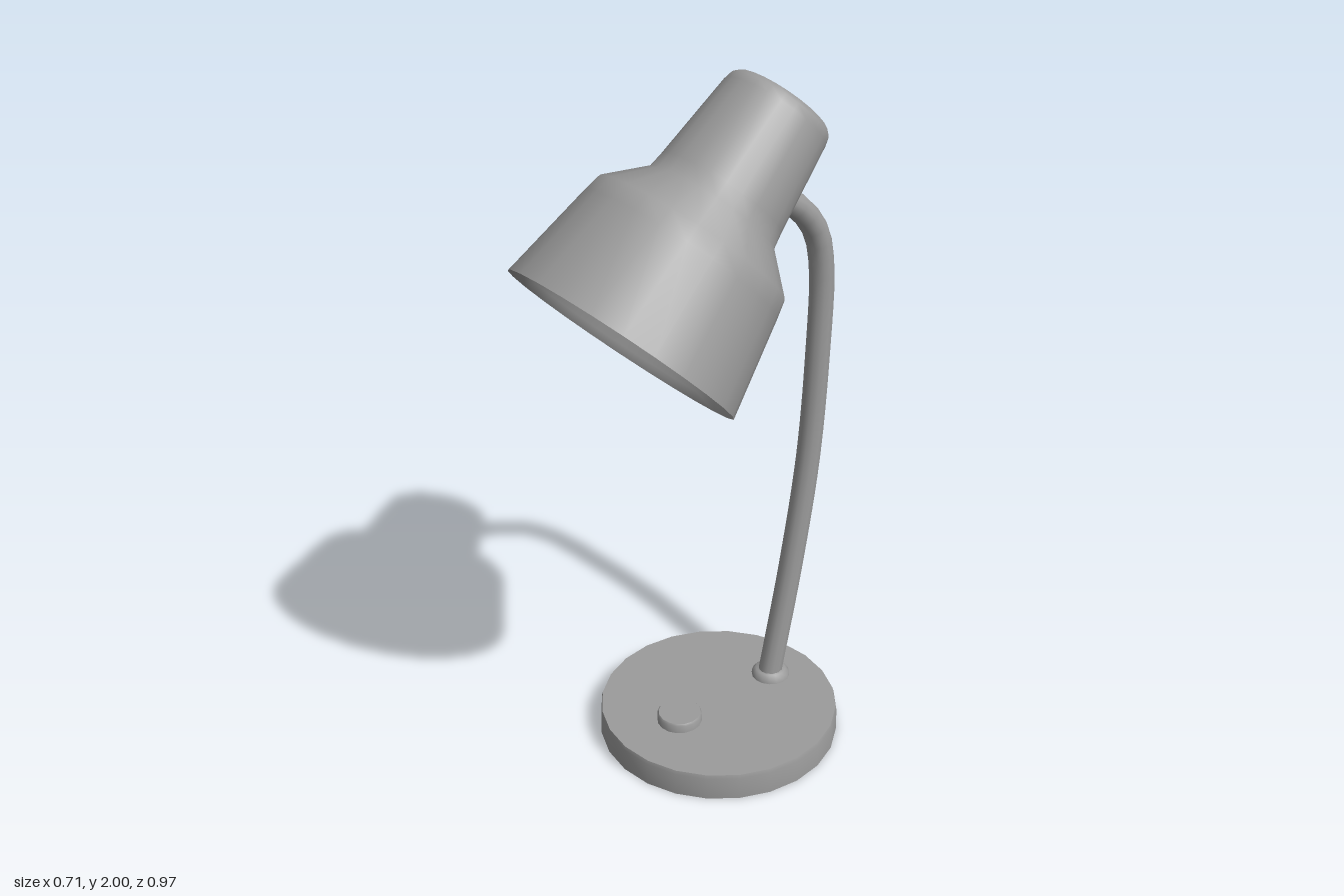
import * as THREE from 'three';
import { toCreasedNormals } from 'three/addons/utils/BufferGeometryUtils.js';

const material = new THREE.MeshStandardMaterial({ color: 0x9b9b9b });

function part(name, geometry, x = 0, y = 0, z = 0) {
  const mesh = new THREE.Mesh(geometry, material);
  mesh.name = name;
  mesh.position.set(x, y, z);
  return mesh;
}

// Turned solid from [radius, height] pairs
function turned(points, sides) {
  const profile = points.map(([r, h]) => new THREE.Vector2(r, h));
  return toCreasedNormals(new THREE.LatheGeometry(profile, sides), 0.9);
}

export function createModel() {
  const lamp = new THREE.Group();
  lamp.name = 'deskLamp';

  // Weighted round foot
  const foot = turned([[0, 0], [0.355, 0], [0.354, 0.07], [0.351, 0.081], [0, 0.081]], 24);
  lamp.add(part('base', foot, 0, 0, -0.09));

  // Switch knob and arm socket on top of the foot
  const knob = turned([[0.066, 0.07], [0.066, 0.105], [0.062, 0.111], [0, 0.111]], 16);
  lamp.add(part('switchKnob', knob, 0, 0, 0.06));
  const socket = turned([[0.058, 0.07], [0.057, 0.09], [0.045, 0.104], [0, 0.104]], 16);
  lamp.add(part('armSocket', socket, 0, 0, -0.297));

  // Bent arm, given as [height, depth]
  const path = new THREE.CatmullRomCurve3([
    [0.085, -0.293], [0.45, -0.367], [0.8, -0.422], [1.127, -0.445], [1.397, -0.448],
    [1.508, -0.422], [1.587, -0.363], [1.645, -0.28], [1.657, -0.262],
  ].map(([y, z]) => new THREE.Vector3(0, y, z)), false, 'centripetal');
  lamp.add(part('arm', new THREE.TubeGeometry(path, 32, 0.036, 12)));

  // Head, tilted to shine forward and down; its origin is the rim centre
  const head = new THREE.Group();
  head.name = 'head';
  head.position.set(0, 1.372, 0.2435);
  head.rotation.x = -Math.PI / 4;
  lamp.add(head);

  // Double-walled shade: inner wall down to a bevelled lip, then the outer wall up
  const shade = turned([
    [0, 0.725], [0.135, 0.72], [0.172, 0.42], [0.27, 0.316], [0.326, 0.022],
    [0.344, 0], [0.296, 0.275], [0.286, 0.325], [0.191, 0.42], [0.184, 0.465],
    [0.156, 0.715], [0.151, 0.736], [0.138, 0.749], [0.11, 0.753], [0, 0.753],
  ], 24);
  head.add(part('shade', shade));

  // Bulb and its holder
  head.add(part('bulb', new THREE.SphereGeometry(0.142, 24, 16), 0, 0.167, 0));
  head.add(part('bulbHolder', new THREE.CylinderGeometry(0.06, 0.07, 0.46, 16), 0, 0.5, 0));

  return lamp;
}
